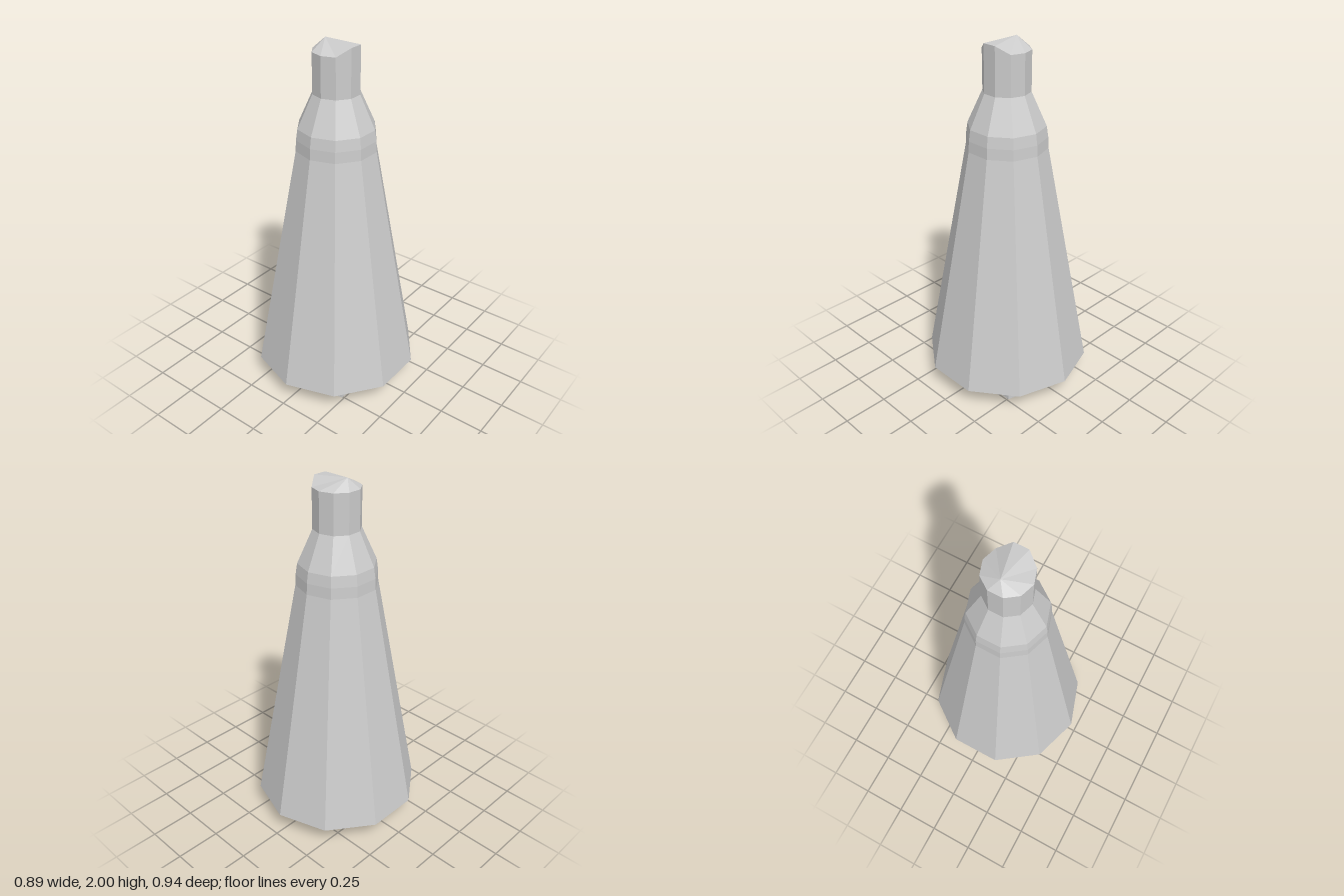
import * as THREE from 'three';

const material = new THREE.MeshStandardMaterial({ color: 0xcccccc, flatShading: true });

// Skins a stack of equal-length rings from bottom to top and closes both ends with fans.
function loft(name, rings, bottom, top) {
  const pos = [];
  const tri = (...pts) => pts.forEach((p) => pos.push(...p));
  const n = rings[0].length;
  for (let j = 0; j < n; j++) {
    const k = (j + 1) % n;
    for (let i = 0; i < rings.length - 1; i++) {
      const lo = rings[i], hi = rings[i + 1];
      tri(lo[j], lo[k], hi[k]);
      tri(lo[j], hi[k], hi[j]);
    }
    const first = rings[0], last = rings[rings.length - 1];
    tri(first[k], first[j], bottom);
    tri(last[j], last[k], top);
  }
  const geometry = new THREE.BufferGeometry();
  geometry.setAttribute('position', new THREE.Float32BufferAttribute(pos, 3));
  geometry.computeVertexNormals();
  const mesh = new THREE.Mesh(geometry, material);
  mesh.name = name;
  return mesh;
}

// Ten-sided ring with a corner facing the front
const ring = (r, y) => Array.from({ length: 10 }, (_, i) => {
  const a = (i / 10) * Math.PI * 2;
  return [r * Math.sin(a), y, r * Math.cos(a)];
});

// Closed outline mirrored across z from half of its [x, y, z] points
const mirrored = (half) => [...half, ...half.map(([x, y, z]) => [x, y, -z]).reverse()];

function createBody() {
  const profile = [[0.47, 0.12], [0.221, 1.43], [0.218, 1.49], [0.209, 1.55], [0.127, 1.73], [0.127, 1.945]];
  const rings = profile.map(([r, y]) => ring(r, y));
  // The rim of the head lifts on the +x side
  for (const p of rings[5]) if (p[0] > 0.1) p[1] = 1.985;
  return loft('robedBody', rings, [0, 0.12, 0], [-0.07, 2, 0]);
}

function createFoot(name, z) {
  // Teardrop sole, sloping upper, then the shank with its instep
  const outline = [[-0.09, 0.07, 0.035], [-0.06, 0.07, 0.07], [0.02, 0.07, 0.086], [0.09, 0.058, 0.078], [0.24, 0.03, 0.042]];
  const instep = [[-0.057, 0.07, 0.025], [-0.035, 0.07, 0.053], [0.02, 0.07, 0.053], [0.08, 0.062, 0.045], [0.18, 0.048, 0.02]];
  const shank = [[-0.057, 0.13, 0.025], [-0.035, 0.13, 0.053], [0.02, 0.13, 0.053], [0.045, 0.13, 0.04], [0.06, 0.13, 0.02]];
  const sole = outline.map(([x, , w]) => [x, 0, w]);
  const foot = loft(name, [sole, outline, instep, shank].map(mirrored), [0.05, 0, 0], [0, 0.13, 0]);
  foot.position.z = z;
  return foot;
}

export function createModel() {
  const model = new THREE.Group();
  model.name = 'robedFigure';
  model.add(createBody(), createFoot('frontFoot', 0.214), createFoot('backFoot', -0.214));
  return model;
}
